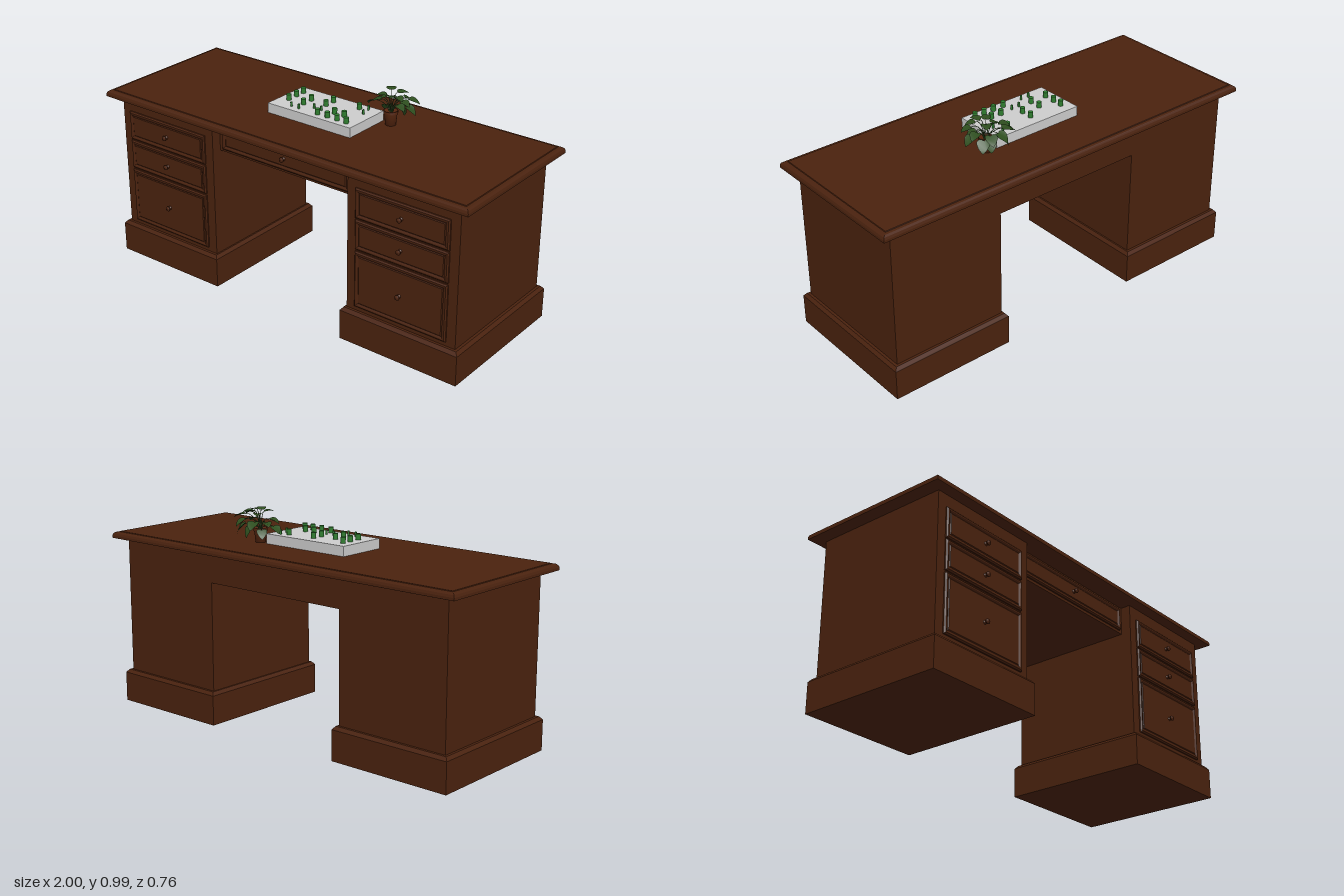
import * as THREE from 'three';

const material = (name, color, side = THREE.FrontSide) => {
  const m = new THREE.MeshStandardMaterial({ color, side });
  m.name = name;
  return m;
};

// Closed solid through stacked rectangles [halfWidth, halfDepth, height]
function loft(levels) {
  const rings = levels.map(([w, d, y]) => [[-w, y, d], [w, y, d], [w, y, -d], [-w, y, -d]]);
  const pos = [];
  const quad = (a, b, c, d) => pos.push(...a, ...b, ...c, ...a, ...c, ...d);
  for (let k = 0; k < rings.length - 1; k++) {
    for (let i = 0; i < 4; i++) {
      const j = (i + 1) % 4;
      quad(rings[k][i], rings[k][j], rings[k + 1][j], rings[k + 1][i]);
    }
  }
  const first = rings[0], last = rings[rings.length - 1];
  quad(last[0], last[1], last[2], last[3]);
  quad(first[3], first[2], first[1], first[0]);
  const g = new THREE.BufferGeometry();
  g.setAttribute('position', new THREE.Float32BufferAttribute(pos, 3));
  g.computeVertexNormals();
  return g;
}

export function createModel() {
  const root = new THREE.Group();
  root.name = 'desk';
  const wood = material('dark wood', 0x4a220e);
  const grey = material('tray grey', 0xcccccc);
  const green = material('peg green', 0x2f7d2f);
  const clay = material('pot brown', 0x56260f);
  const leafGreen = material('leaf green', 0x2d4d1e, THREE.DoubleSide);

  const add = (parent, name, geometry, mat, x = 0, y = 0, z = 0) => {
    const mesh = new THREE.Mesh(geometry, mat);
    mesh.name = name;
    mesh.position.set(x, y, z);
    parent.add(mesh);
    return mesh;
  };

  // Table top with a rounded edge and a shallow raised field
  add(root, 'tableTop', loft([
    [0.99, 0.37, 0.805], [1, 0.38, 0.808], [1, 0.38, 0.82], [0.996, 0.376, 0.83],
    [0.988, 0.368, 0.836], [0.975, 0.355, 0.837], [0.973, 0.353, 0.84],
  ]), wood);

  // Drawer front with raised, bevelled panel and turned knob
  const knobShape = new THREE.LatheGeometry([
    [0.009, 0], [0.009, 0.002], [0.004, 0.005], [0.004, 0.011], [0.011, 0.014],
    [0.012, 0.018], [0.009, 0.022], [0, 0.024],
  ].map(([r, h]) => new THREE.Vector2(r, h)), 16);
  const addDrawer = (name, x, y, z, w, h) => {
    const drawer = new THREE.Group();
    drawer.name = name;
    drawer.position.set(x, y, z);
    drawer.rotation.x = Math.PI / 2;
    const a = w / 2, b = h / 2;
    add(drawer, 'drawerPanel', loft([
      [a, b, -0.005], [a, b, 0.006], [a - 0.006, b - 0.006, 0.012],
      [a - 0.012, b - 0.012, 0.012], [a - 0.02, b - 0.02, 0.007], [a - 0.024, b - 0.024, 0.01],
    ]), wood);
    add(drawer, 'knob', knobShape, wood, 0, 0.009, 0);
    root.add(drawer);
  };

  // Pedestals on moulded plinths
  for (const side of [-1, 1]) {
    const label = side > 0 ? 'left' : 'right';
    const x = side * 0.6625;
    add(root, label + 'Pedestal', new THREE.BoxGeometry(0.56, 0.67, 0.66), wood, side * 0.66, 0.475, 0);
    add(root, label + 'Plinth', loft([
      [0.3025, 0.355, 0], [0.3025, 0.355, 0.142], [0.29, 0.342, 0.157], [0.28, 0.33, 0.157],
    ]), wood, x, 0, 0);
    for (const [name, low, high] of [['TopDrawer', 0.605, 0.745], ['MiddleDrawer', 0.457, 0.598], ['BottomDrawer', 0.178, 0.448]]) {
      addDrawer(label + name, side * 0.66, (low + high) / 2, 0.33, 0.47, high - low);
    }
  }

  // Centre section, set back at the front
  add(root, 'centreSection', new THREE.BoxGeometry(0.77, 0.137, 0.61), wood, 0, 0.7375, -0.025);
  addDrawer('centreDrawer', 0, 0.7375, 0.28, 0.72, 0.112);

  // Tray with thick and thin pegs
  add(root, 'tray', new THREE.BoxGeometry(0.46, 0.047, 0.245), grey, 0, 0.8625, -0.0025);
  const pegs = [
    [-0.18, -0.07], [-0.18, -0.022], [-0.18, 0.033], [-0.095, -0.022], [-0.095, 0.033],
    [-0.005, -0.068], [-0.005, -0.015], [0.133, -0.077], [0.08, 0.033], [0.133, 0.033],
    [0.025, 0.085], [0.08, 0.085], [0.133, 0.085], [0.183, 0.085],
  ];
  const thinPegs = [[-0.122, 0.085], [-0.08, 0.085], [-0.03, 0.04], [0.012, 0.04], [0.172, -0.092], [0.183, -0.04]];
  const thick = new THREE.CylinderGeometry(0.0115, 0.0115, 0.028, 12);
  const thin = new THREE.CylinderGeometry(0.0055, 0.0055, 0.022, 8);
  for (const [x, z] of pegs) add(root, 'peg', thick, green, x, 0.899, z);
  for (const [x, z] of thinPegs) add(root, 'thinPeg', thin, green, x, 0.896, z);

  // Potted plant
  const plant = new THREE.Group();
  plant.name = 'plant';
  plant.position.set(0.28, 0.84, -0.11);
  root.add(plant);
  add(plant, 'pot', new THREE.LatheGeometry([
    [0, 0], [0.024, 0], [0.029, 0.05], [0.032, 0.051], [0.033, 0.067], [0.029, 0.067], [0.028, 0.06], [0, 0.06],
  ].map(([r, h]) => new THREE.Vector2(r, h)), 20), clay);

  // Heart-shaped leaf, folded along its rib and curling down at the tip
  const outline = new THREE.Shape();
  outline.moveTo(0, 0);
  outline.bezierCurveTo(0.012, -0.014, 0.034, 0, 0.028, 0.02);
  outline.quadraticCurveTo(0.022, 0.04, 0, 0.056);
  outline.quadraticCurveTo(-0.022, 0.04, -0.028, 0.02);
  outline.bezierCurveTo(-0.034, 0, -0.012, -0.014, 0, 0);
  const leaf = new THREE.ShapeGeometry(outline, 5);
  const p = leaf.attributes.position;
  for (let i = 0; i < p.count; i++) {
    p.setZ(i, 5 * p.getY(i) ** 2 - 0.25 * Math.abs(p.getX(i)));
  }
  leaf.computeVertexNormals();

  // Stem tips relative to the pot: x, y, z, leaf pitch, leaf size
  const sprays = [
    [-0.1, 0.085, -0.02, 1.9, 0.9], [-0.065, 0.1, -0.035, 1.6, 0.85], [-0.05, 0.11, 0.012, 1.7, 0.85],
    [-0.035, 0.14, -0.05, 1.4, 0.8], [-0.02, 0.1, -0.06, 1.9, 1], [0.03, 0.11, -0.07, 1.9, 0.95],
    [0.05, 0.085, -0.05, 2.2, 1], [0.015, 0.075, -0.045, 2.4, 1], [0.075, 0.125, -0.035, 1.7, 0.85],
    [0.08, 0.1, -0.01, 2.0, 0.9], [0.07, 0.13, 0.015, 1.6, 0.8], [0.045, 0.145, 0.018, 1.5, 0.75],
    [0.015, 0.145, 0.022, 1.2, 0.75], [-0.015, 0.14, 0.015, 1.3, 0.75], [0.02, 0.145, -0.03, 1.4, 0.8],
    [-0.05, 0.065, -0.045, 2.2, 0.85], [0.045, 0.105, 0.012, 1.7, 0.8],
  ];
  for (const [x, y, z, pitch, size] of sprays) {
    const stem = new THREE.QuadraticBezierCurve3(
      new THREE.Vector3(x * 0.1, 0.06, z * 0.1),
      new THREE.Vector3(x * 0.35, y + 0.015, z * 0.35),
      new THREE.Vector3(x, y, z));
    add(plant, 'stem', new THREE.TubeGeometry(stem, 8, 0.0015, 5), leafGreen);
    const blade = add(plant, 'leaf', leaf, leafGreen, x, y, z);
    blade.rotation.set(pitch, Math.atan2(x, z), 0, 'YXZ');
    blade.scale.setScalar(size);
  }
  return root;
}
